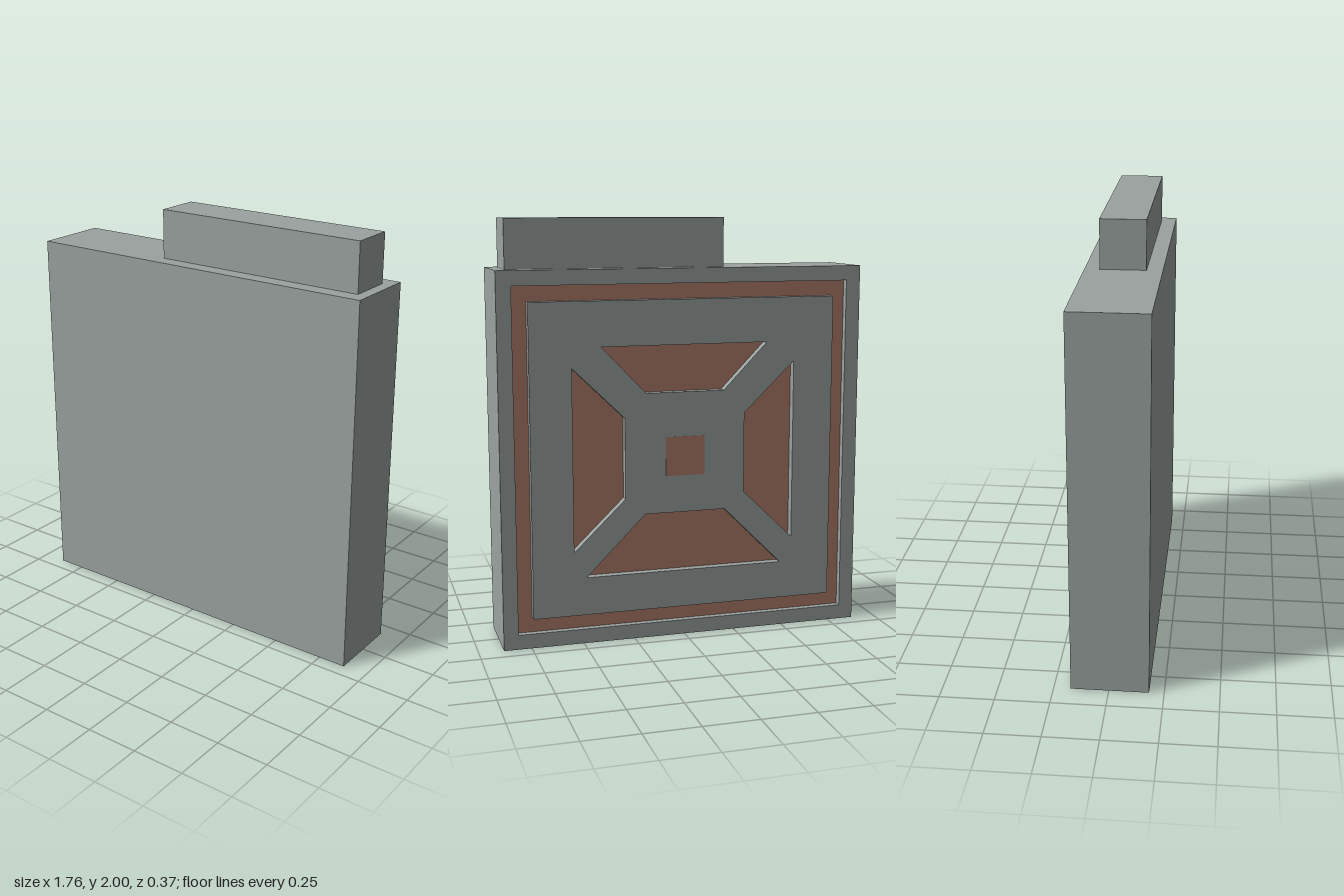
import * as THREE from 'three';

const CY = 0.885;          // height of the panel centre
const FLOOR = -0.137;      // recess floor
const RIM = -0.173;        // back face of the body
const FACE = -0.182;       // back face of the raised panel

const grey = new THREE.MeshStandardMaterial({ color: 0x9aa29f });
grey.name = 'greyMetal';
const copper = new THREE.MeshStandardMaterial({ color: 0xb07d6b });
copper.name = 'copper';

// Box given by its minimum and maximum corners
function box(name, mat, [x0, y0, z0], [x1, y1, z1]) {
  const mesh = new THREE.Mesh(new THREE.BoxGeometry(x1 - x0, y1 - y0, z1 - z0), mat);
  mesh.position.set((x0 + x1) / 2, (y0 + y1) / 2, (z0 + z1) / 2);
  mesh.name = name;
  return mesh;
}

const rect = (w, h) => [[-w, -h], [w, -h], [w, h], [-w, h]];
const toPoints = (list) => list.map(([x, y]) => new THREE.Vector2(x, y));

// Flat plate with cut-outs, reaching from z0 to z1
function plate(name, outline, holes, z0, z1) {
  const shape = new THREE.Shape(toPoints(outline));
  holes.forEach((h) => shape.holes.push(new THREE.Path(toPoints(h))));
  const geo = new THREE.ExtrudeGeometry(shape, { depth: z1 - z0, bevelEnabled: false });
  const mesh = new THREE.Mesh(geo, grey);
  mesh.position.set(0, CY, z0);
  mesh.name = name;
  return mesh;
}

export function createModel() {
  const model = new THREE.Group();
  model.name = 'deviceBlock';

  // Solid body and the offset block on top
  model.add(box('body', grey, [-0.882, 0, FLOOR], [0.882, 1.77, 0.182]));
  model.add(box('topBlock', grey, [-0.21, 1.77, -0.104], [0.83, 2, 0.108]));

  // Raised rim round the recess at the back
  model.add(plate('backRim', rect(0.882, 0.885), [rect(0.812, 0.815)], RIM, FLOOR));

  // Copper sheet on the recess floor
  model.add(box('recessFloor', copper, [-0.812, CY - 0.815, FLOOR - 0.003], [0.812, CY + 0.815, FLOOR]));

  // Raised panel with four tapered windows
  const side = [[0.294, -0.193], [0.543, -0.435], [0.543, 0.435], [0.294, 0.193]];
  const windows = [
    side,
    side.map(([x, y]) => [-x, y]),
    [[-0.19, 0.307], [0.19, 0.307], [0.405, 0.53], [-0.405, 0.53]],
    [[-0.197, -0.272], [0.197, -0.272], [0.485, -0.56], [-0.485, -0.56]],
  ];
  model.add(plate('backPanel', rect(0.741, 0.742), windows, FACE, FLOOR));

  // Copper square at the panel centre
  model.add(box('centreSquare', copper, [-0.095, CY - 0.094, FACE - 0.001], [0.095, CY + 0.094, FACE + 0.002]));

  return model;
}
